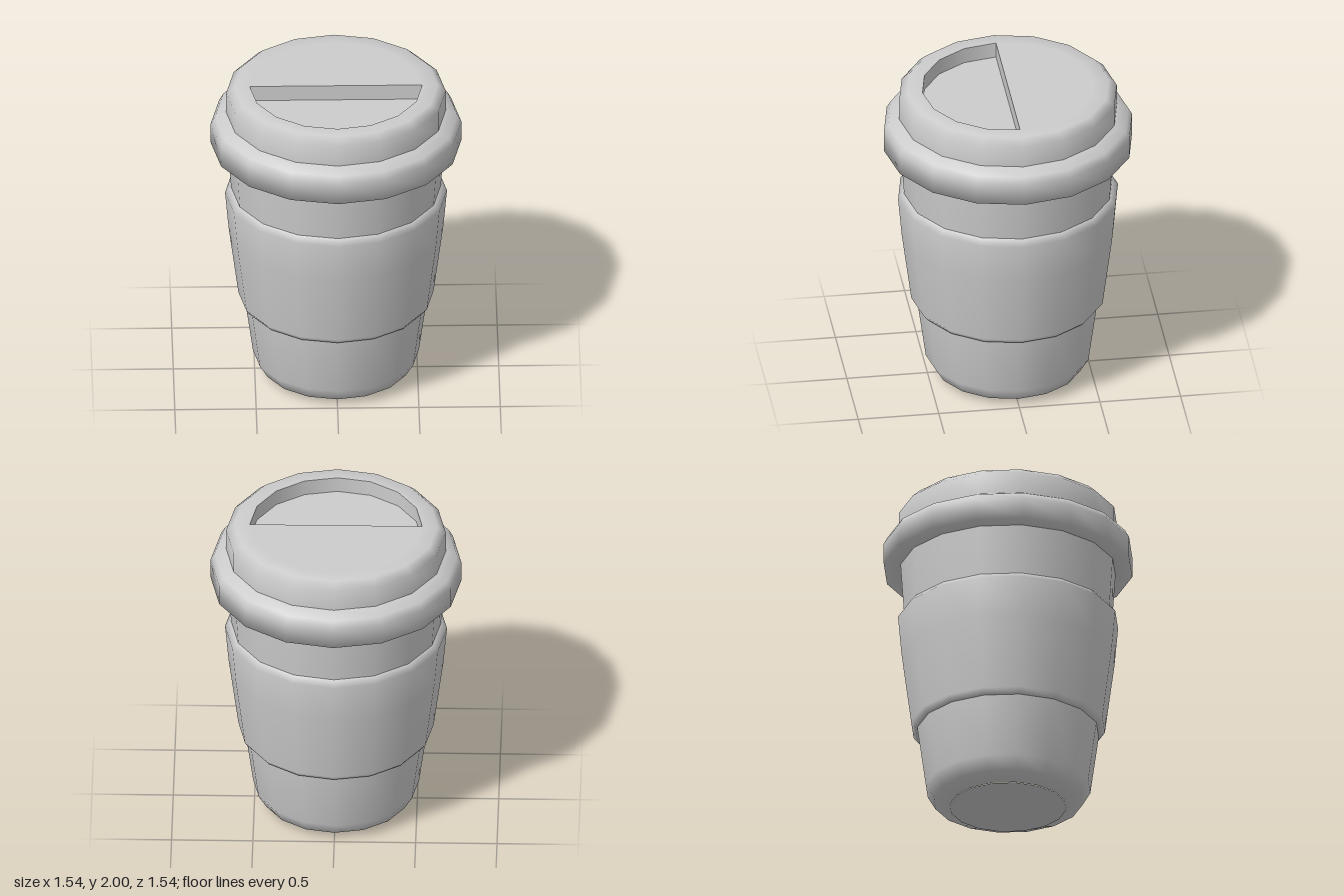
import * as THREE from 'three';

const SIDES = 16;

export function createModel() {
  const model = new THREE.Group();
  model.name = 'travelCup';
  const grey = new THREE.MeshStandardMaterial({ color: 0xcccccc });
  grey.name = 'light grey';

  const add = (parent, name, geometry) => {
    const mesh = new THREE.Mesh(geometry, grey);
    mesh.name = name;
    parent.add(mesh);
    return mesh;
  };
  // Turned surface; profile points [radius, y] run upward for an outward face
  const turn = (profile, start = 0, sweep = Math.PI * 2) =>
    new THREE.LatheGeometry(
      profile.map(([r, y]) => new THREE.Vector2(r, y)),
      Math.round(SIDES * sweep / (Math.PI * 2)), start, sweep);

  // Cup with rounded foot and flat base
  const cup = new THREE.Group();
  cup.name = 'cup';
  model.add(cup);
  add(cup, 'cupWall', turn([[0.36, 0.003], [0.46, 0.04], [0.51, 0.125], [0.563, 0.51], [0.645, 1.29], [0.667, 1.62]]));
  add(cup, 'cupBase', turn([[0, 0], [0.36, 0], [0.36, 0.003]].slice(0, 2)));

  // Grip sleeve with bevelled edges
  add(model, 'sleeve', turn([[0.55, 0.505], [0.575, 0.507], [0.6, 0.54], [0.66, 1.0], [0.682, 1.25], [0.65, 1.287], [0.635, 1.29]]));

  // Lid: overhanging brim, raised crown, half-round drinking recess
  const lid = new THREE.Group();
  lid.name = 'lid';
  model.add(lid);
  add(lid, 'brim', turn([[0.63, 1.605], [0.77, 1.605], [0.77, 1.74], [0.745, 1.785], [0.675, 1.82], [0.64, 1.825]]));
  add(lid, 'crown', turn([[0.675, 1.81], [0.675, 1.955], [0.625, 2], [0.53, 2]]));

  const r = 0.53, depth = 0.1, top = 2;
  const halfDisc = (start) => new THREE.CircleGeometry(r, SIDES / 2, start, Math.PI).rotateX(-Math.PI / 2);
  add(lid, 'lidTop', halfDisc(0)).position.y = top;
  add(lid, 'recessFloor', halfDisc(Math.PI)).position.y = top - depth;
  // Downward profile makes this wall face inward
  add(lid, 'recessCurvedWall', turn([[r, top], [r, top - depth]], -Math.PI / 2, Math.PI));
  add(lid, 'recessStraightWall', new THREE.PlaneGeometry(2 * r, depth)).position.y = top - depth / 2;

  return model;
}
